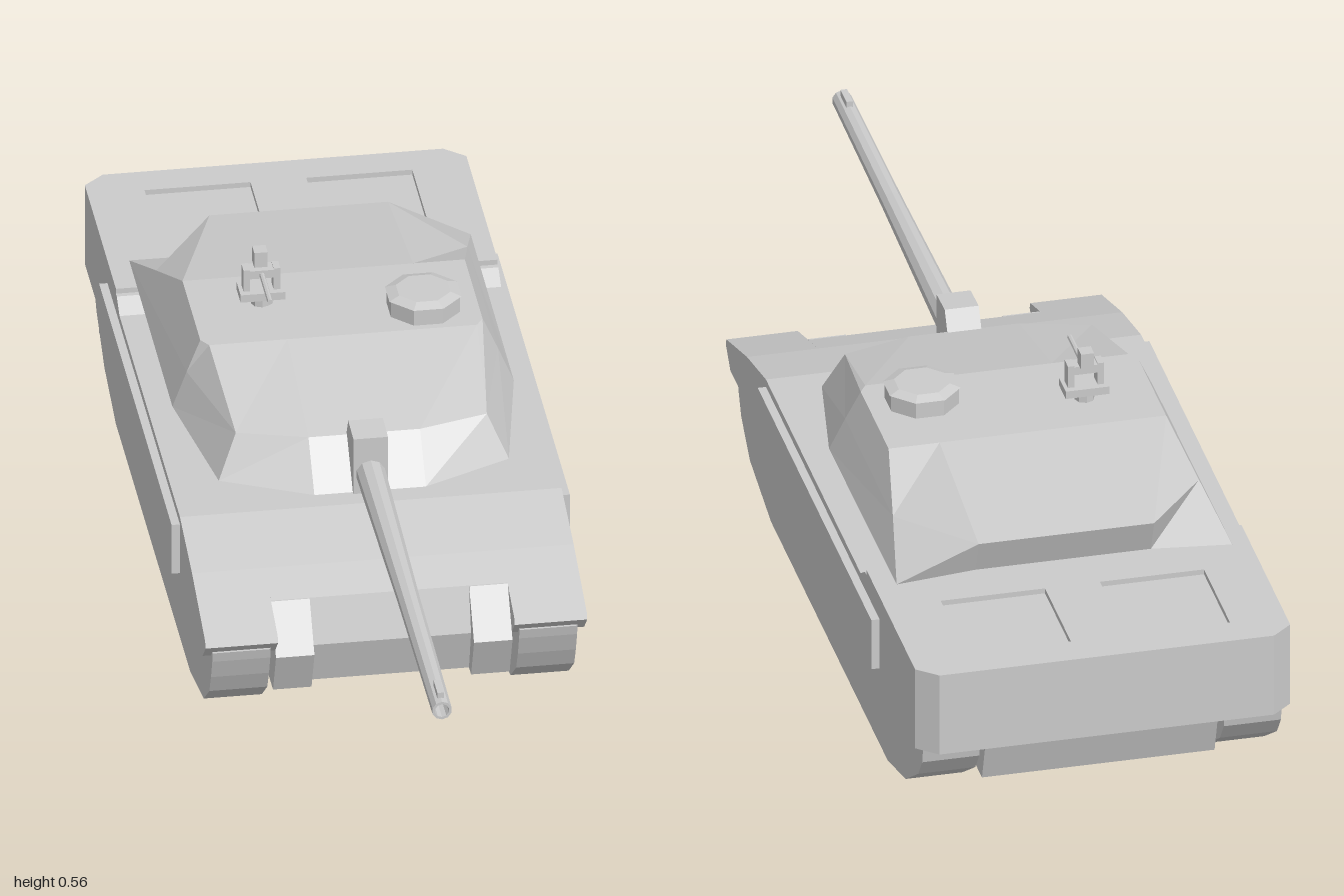
import * as THREE from 'three';

const material = new THREE.MeshStandardMaterial({ color: 0xcccccc, flatShading: true });

export function createModel() {
  const model = new THREE.Group();
  model.name = 'tank';

  const add = (name, geometry, parent = model) => {
    const mesh = new THREE.Mesh(geometry, material);
    mesh.name = name;
    parent.add(mesh);
    return mesh;
  };
  // Box given by its limits on each axis
  const box = (x0, x1, y0, y1, z0, z1) =>
    new THREE.BoxGeometry(x1 - x0, y1 - y0, z1 - z0)
      .translate((x0 + x1) / 2, (y0 + y1) / 2, (z0 + z1) / 2);
  // Side profile of [z, y] points extruded from x0 to x1
  const slab = (points, x0, x1) =>
    new THREE.ExtrudeGeometry(
      new THREE.Shape(points.map(([z, y]) => new THREE.Vector2(z, y))),
      { depth: x1 - x0, bevelEnabled: false }
    ).rotateY(-Math.PI / 2).translate(x1, 0, 0);
  // The same part on both sides; make(lo, hi) receives the x limits
  const both = (name, x0, x1, make) => {
    add(name + 'Left', make(x0, x1));
    add(name + 'Right', make(-x1, -x0));
  };

  // Hull: central body with bow plate, and fenders reaching further forward
  const deckLine = [[-1, 0.326], [-0.59, 0.326], [-0.557, 0.305], [0.157, 0.305], [0.30, 0.272]];
  const centre = [[-0.965, 0.175], [-1, 0.175], ...deckLine,
    [0.375, 0.248], [0.40, 0.165], [0.375, 0.08], [-0.935, 0.08]];
  const fender = [[-1, 0.175], ...deckLine, [0.455, 0.222], [0.46, 0.21], [0.425, 0.175]];
  add('hullBody', slab(centre, -0.212, 0.212));
  both('fender', 0.212, 0.305, (a, b) => slab(fender, a, b));
  both('fenderEdge', 0.305, 0.342, (a, b) => {
    const g = slab(fender, a, b);
    const p = g.attributes.position;
    // Cut the rear corners
    for (let i = 0; i < p.count; i++)
      if (Math.abs(p.getX(i)) > 0.33 && p.getZ(i) < -0.98) p.setZ(i, -0.968);
    return g;
  });

  // Engine deck plate with two recessed hatches
  const outline = (points) => points.map(([x, y]) => new THREE.Vector2(x, y));
  const deck = new THREE.Shape(outline([[-0.342, 0.6], [0.342, 0.6], [0.342, 0.968],
    [0.305, 1], [-0.305, 1], [-0.342, 0.968]]));
  for (const s of [-1, 1])
    deck.holes.push(new THREE.Path(outline([[s * 0.05, 0.74], [s * 0.24, 0.74],
      [s * 0.24, 0.935], [s * 0.05, 0.935]])));
  add('engineDeck', new THREE.ExtrudeGeometry(deck, { depth: 0.01, bevelEnabled: false })
    .rotateX(-Math.PI / 2).scale(1, 1, 1).translate(0, 0.326, 0));

  // Running gear, drive housings and side skirts
  const track = [[0.445, 0.19], [0.44, 0.17], [0.425, 0.13], [0.405, 0.09], [0.34, 0.037],
    [0.18, 0], [-0.70, 0], [-0.835, 0.037], [-0.93, 0.10], [-0.96, 0.14], [-0.97, 0.19]];
  both('track', 0.223, 0.327, (a, b) => slab([...track].reverse(), a, b));
  both('driveHousing', 0.143, 0.212, (a, b) =>
    slab([[0.36, 0.08], [0.36, 0.248], [0.378, 0.248], [0.435, 0.165], [0.40, 0.08]], a, b));
  both('sideSkirt', 0.325, 0.357, (a, b) => box(a, b, 0.19, 0.29, -0.70, 0.157));

  // Turret: faceted shell lofted through mirrored half-rings, top to bottom
  const turret = new THREE.Group();
  turret.name = 'turret';
  model.add(turret);
  const rings = [
    [[0.10, 0.46, -0.17], [0.24, 0.46, -0.17], [0.253, 0.46, -0.19], [0.253, 0.46, -0.40], [0.16, 0.46, -0.40]],
    [[0.10, 0.403, 0.08], [0.225, 0.403, 0.045], [0.279, 0.403, -0.18], [0.279, 0.403, -0.54], [0.16, 0.416, -0.695]],
    [[0.10, 0.325, 0.15], [0.26, 0.325, 0.075], [0.306, 0.34, -0.17], [0.306, 0.345, -0.68], [0.16, 0.35, -0.67]],
    [[0.10, 0.306, 0.10], [0.24, 0.306, 0.03], [0.28, 0.306, -0.17], [0.27, 0.315, -0.45], [0.15, 0.315, -0.47]],
  ].map((half) => [...half, ...half.map(([x, y, z]) => [-x, y, z]).reverse()]);
  const verts = [];
  const tri = (a, b, c) => verts.push(...a, ...b, ...c);
  const n = rings[0].length;
  for (let r = 0; r < rings.length - 1; r++)
    for (let i = 0; i < n; i++) {
      const j = (i + 1) % n, up = rings[r], low = rings[r + 1];
      tri(low[i], low[j], up[j]);
      tri(low[i], up[j], up[i]);
    }
  const floor = rings[rings.length - 1];
  for (let i = 1; i < n - 1; i++) {
    tri(rings[0][0], rings[0][i], rings[0][i + 1]);
    tri(floor[0], floor[i + 1], floor[i]);
  }
  const shell = new THREE.BufferGeometry();
  shell.setAttribute('position', new THREE.Float32BufferAttribute(verts, 3));
  shell.computeVertexNormals();
  add('turretShell', shell, turret);
  add('turretRing', new THREE.CylinderGeometry(0.24, 0.24, 0.03, 24).translate(0, 0.312, -0.23), turret);

  // Main gun with mantlet, hollow tapered barrel and muzzle sight
  add('mantlet', slab([[0.157, 0.325], [0.157, 0.437], [0.095, 0.44], [0.07, 0.395], [0.05, 0.325]]
    .reverse(), -0.031, 0.031), turret);
  const barrel = [[0, 0.10], [0.027, 0.10], [0.026, 0.20], [0.02, 0.62], [0.018, 1],
    [0.013, 1], [0.013, 0.95], [0, 0.95]].map(([r, z]) => new THREE.Vector2(r, z));
  add('gunBarrel', new THREE.LatheGeometry(barrel, 10).rotateX(Math.PI / 2).translate(0, 0.365, 0), turret);
  add('muzzleSight', box(-0.006, 0.006, 0.378, 0.393, 0.94, 0.985), turret);

  // Commander's cupola with a low lid
  const octagon = (top, bottom, y0, y1) => new THREE.CylinderGeometry(top, bottom, y1 - y0, 8)
    .rotateY(Math.PI / 8).translate(0.155, (y0 + y1) / 2, -0.245);
  add('cupola', octagon(0.067, 0.067, 0.455, 0.492), turret);
  add('cupolaLid', octagon(0.05, 0.07, 0.492, 0.499), turret);

  // Roof weapon station
  const station = new THREE.Group();
  station.name = 'roofGun';
  station.position.set(-0.127, 0, -0.305);
  turret.add(station);
  add('post', new THREE.CylinderGeometry(0.018, 0.018, 0.025, 8).translate(0, 0.467, 0), station);
  add('basePlate', box(-0.04, 0.04, 0.477, 0.492, -0.025, 0.025), station);
  for (const s of [-1, 1])
    add('arm', box(-0.006, 0.006, 0.49, 0.535, -0.013, 0.013).translate(s * 0.027, 0, 0), station);
  add('cradle', box(-0.022, 0.022, 0.517, 0.533, -0.014, 0.014), station);
  add('sightBlock', box(-0.012, 0.012, 0.533, 0.563, -0.024, 0.002), station);
  add('smallBarrel', new THREE.CylinderGeometry(0.005, 0.005, 0.11, 8)
    .rotateX(Math.PI / 2).translate(0, 0.524, 0.055), station);

  return model;
}
